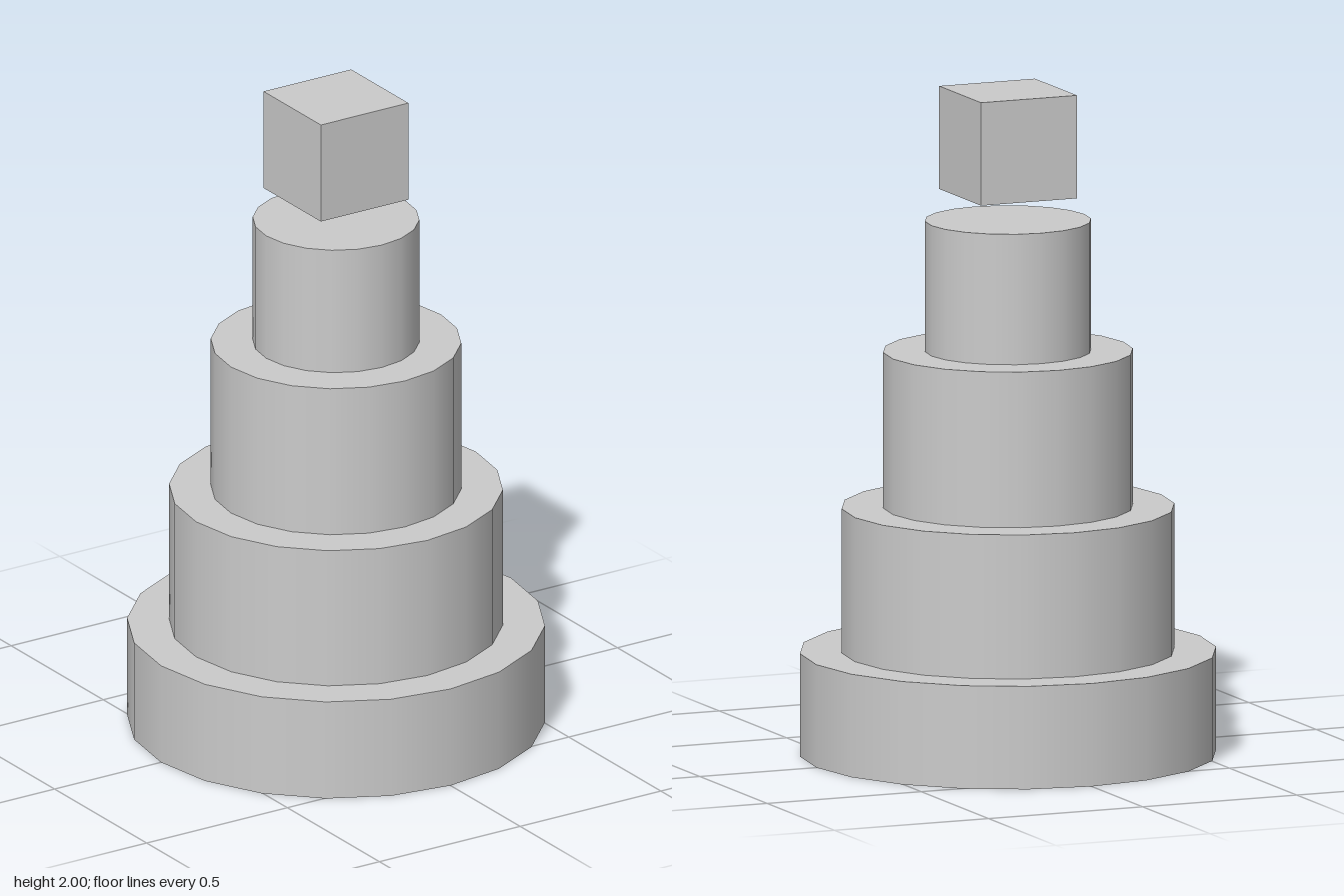
import * as THREE from 'three';

export function createModel() {
  const group = new THREE.Group();
  group.name = 'steppedTower';
  const material = new THREE.MeshStandardMaterial({ color: 0xcccccc });

  const add = (name, geometry, y) => {
    const mesh = new THREE.Mesh(geometry, material);
    mesh.name = name;
    mesh.position.y = y;
    group.add(mesh);
  };

  // Stacked round tiers: name, radius, bottom, top
  const tiers = [
    ['baseTier', 0.622, 0, 0.311],
    ['lowerTier', 0.497, 0.311, 0.746],
    ['upperTier', 0.373, 0.746, 1.216],
    ['topTier', 0.248, 1.216, 1.61],
  ];
  for (const [name, radius, bottom, top] of tiers) {
    add(name, new THREE.CylinderGeometry(radius, radius, top - bottom, 20), (bottom + top) / 2);
  }

  // Cube floating above the top tier
  const size = 0.311;
  add('floatingCube', new THREE.BoxGeometry(size, size, size), 2 - size / 2);

  return group;
}
